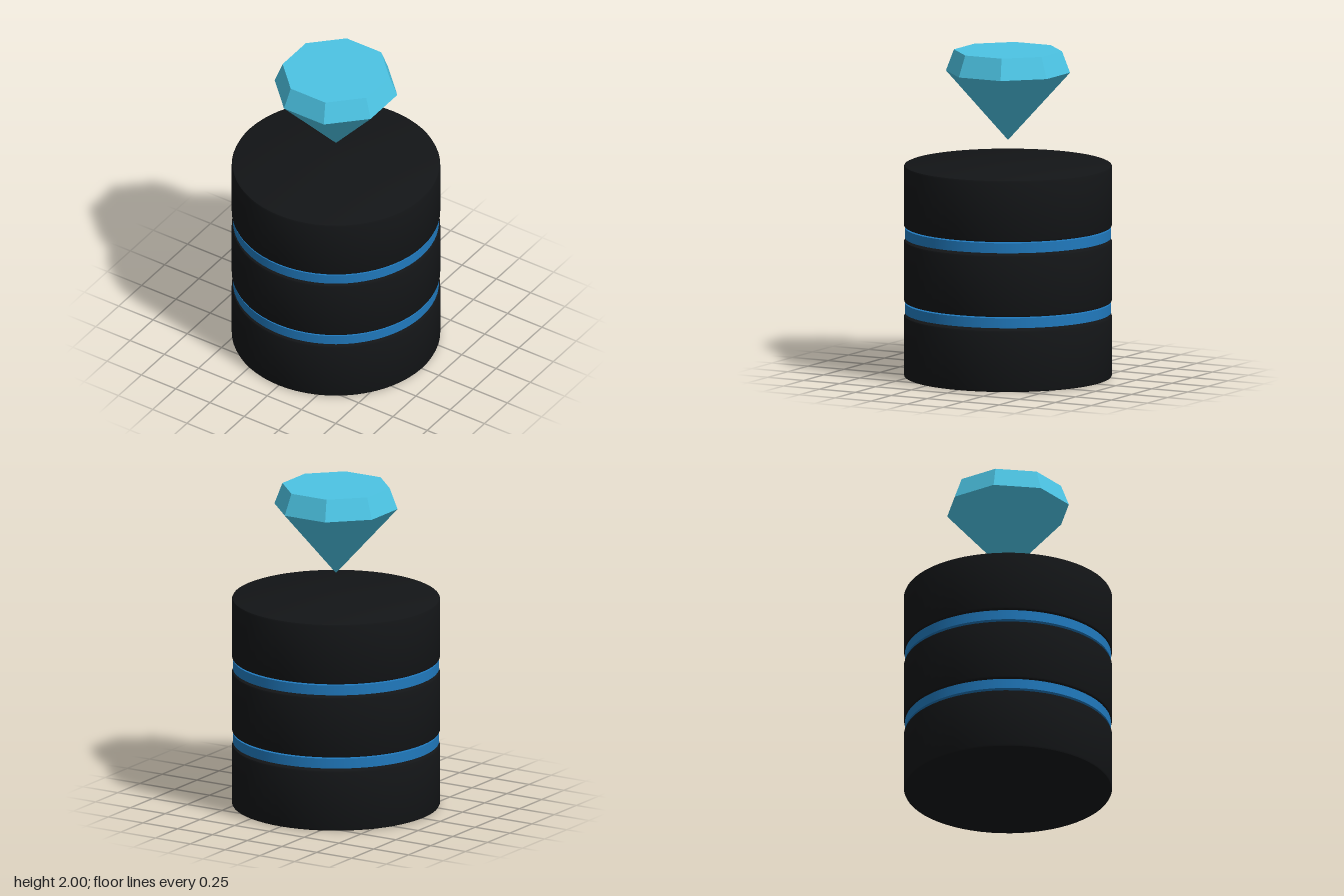
import * as THREE from 'three';
import { toCreasedNormals } from 'three/addons/utils/BufferGeometryUtils.js';

// Revolve a list of [radius, height] points, bottom to top
function revolve(points, sides, start = 0) {
  return new THREE.LatheGeometry(points.map(([r, y]) => new THREE.Vector2(r, y)), sides, start);
}

export function createModel() {
  const model = new THREE.Group();
  const black = new THREE.MeshStandardMaterial({ color: 0x131517 });
  const blue = new THREE.MeshStandardMaterial({ color: 0x2079bd });
  const cyan = new THREE.MeshStandardMaterial({ color: 0x4cc4e4, flatShading: true });

  const add = (name, geometry, material, y) => {
    const mesh = new THREE.Mesh(geometry, material);
    mesh.name = name;
    mesh.position.y = y;
    model.add(mesh);
  };

  // Three stacked drums with softened rims
  const R = 0.632, H = 0.38, b = 0.014;
  const drum = toCreasedNormals(revolve([
    [0, 0], [R - b, 0], [R - b * 0.3, b * 0.3], [R, b],
    [R, H - b], [R - b * 0.3, H - b * 0.3], [R - b, H], [0, H],
  ], 64), 0.6);
  ['lowerDrum', 'middleDrum', 'upperDrum'].forEach((name, i) => add(name, drum, black, i * 0.46));

  // Blue discs floating in the gaps between the drums
  const band = new THREE.CylinderGeometry(0.625, 0.625, 0.061, 64);
  ['lowerBand', 'upperBand'].forEach((name, i) => add(name, band, blue, 0.423 + i * 0.46));

  // Eight-sided gem hovering above: point, girdle, crown and flat table
  const gem = revolve([[0, 0], [0.379, 0.42], [0.33, 0.55], [0, 0.55]], 8, Math.PI / 8);
  add('gem', gem, cyan, 1.45);

  return model;
}
